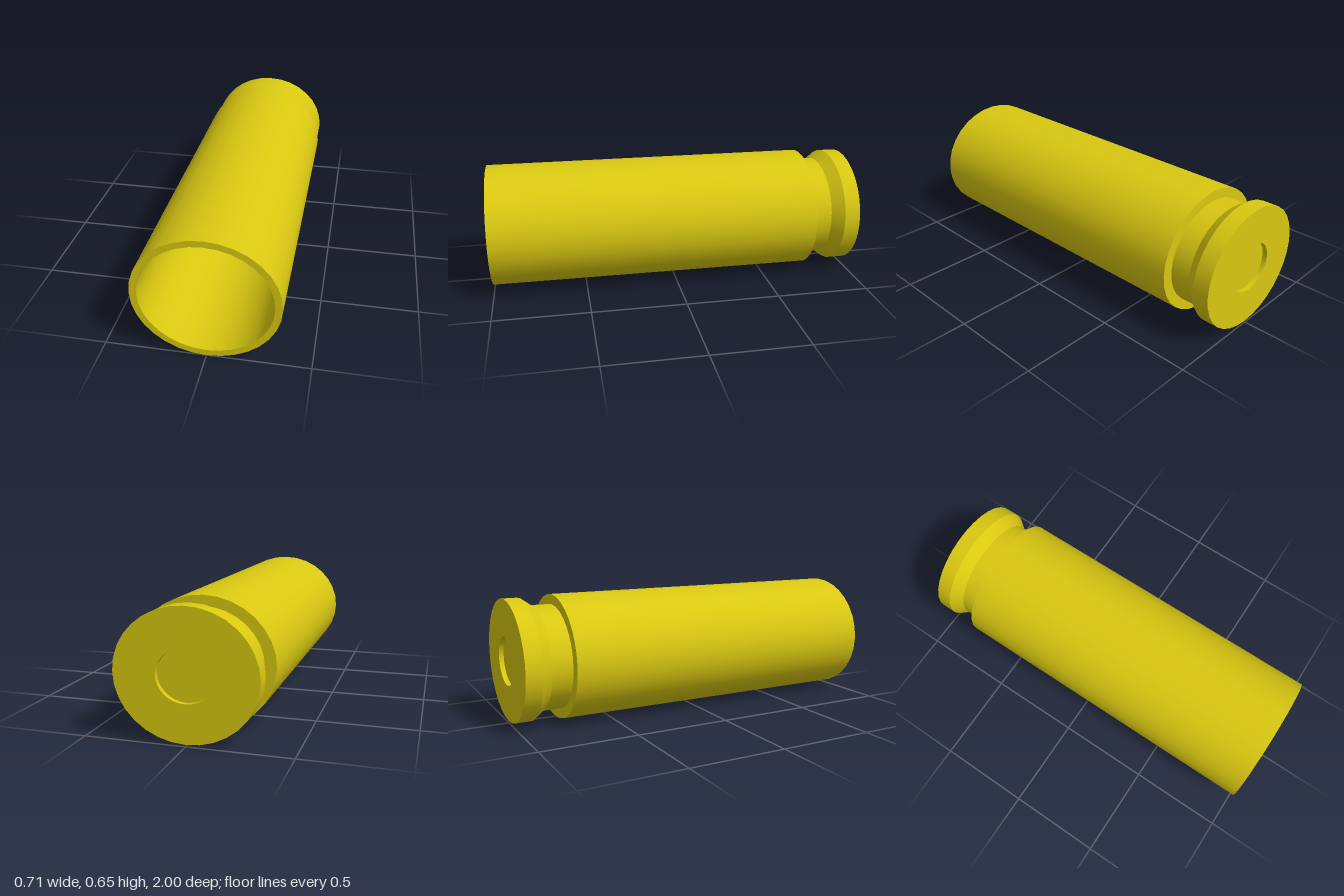
import * as THREE from 'three';

const SIDES = 32;
const SQUASH = 0.91; // the section is slightly wider than tall
const CENTRE_Y = 0.325;

export function createModel() {
  const group = new THREE.Group();
  group.name = 'cartridgeCase';
  const brass = new THREE.MeshStandardMaterial({ color: 0xd9c811, side: THREE.DoubleSide });

  // One turned band between two [radius, z] points; separate bands keep the edges sharp
  const band = (name, a, b) => {
    const points = [a, b].map(([r, z]) => new THREE.Vector2(r, z));
    const geometry = new THREE.LatheGeometry(points, SIDES);
    geometry.rotateX(Math.PI / 2);
    geometry.scale(1, SQUASH, 1);
    const mesh = new THREE.Mesh(geometry, brass);
    mesh.name = name;
    mesh.position.y = CENTRE_Y;
    group.add(mesh);
  };

  // Profile from the primer at the back, along the outside, then into the mouth
  const profile = [
    [0, -0.975], [0.139, -0.975], [0.139, -1], [0.347, -1], [0.347, -0.915],
    [0.3, -0.855], [0.3, -0.75], [0.357, -0.75], [0.357, 1], [0.322, 1], [0.322, -0.75],
  ];
  const names = [
    'primer', 'primerPocketWall', 'baseFace', 'rim', 'rimBevel',
    'extractorGroove', 'grooveShoulder', 'bodyWall', 'mouthLip', 'innerWall',
  ];
  names.forEach((name, i) => band(name, profile[i], profile[i + 1]));

  return group;
}
